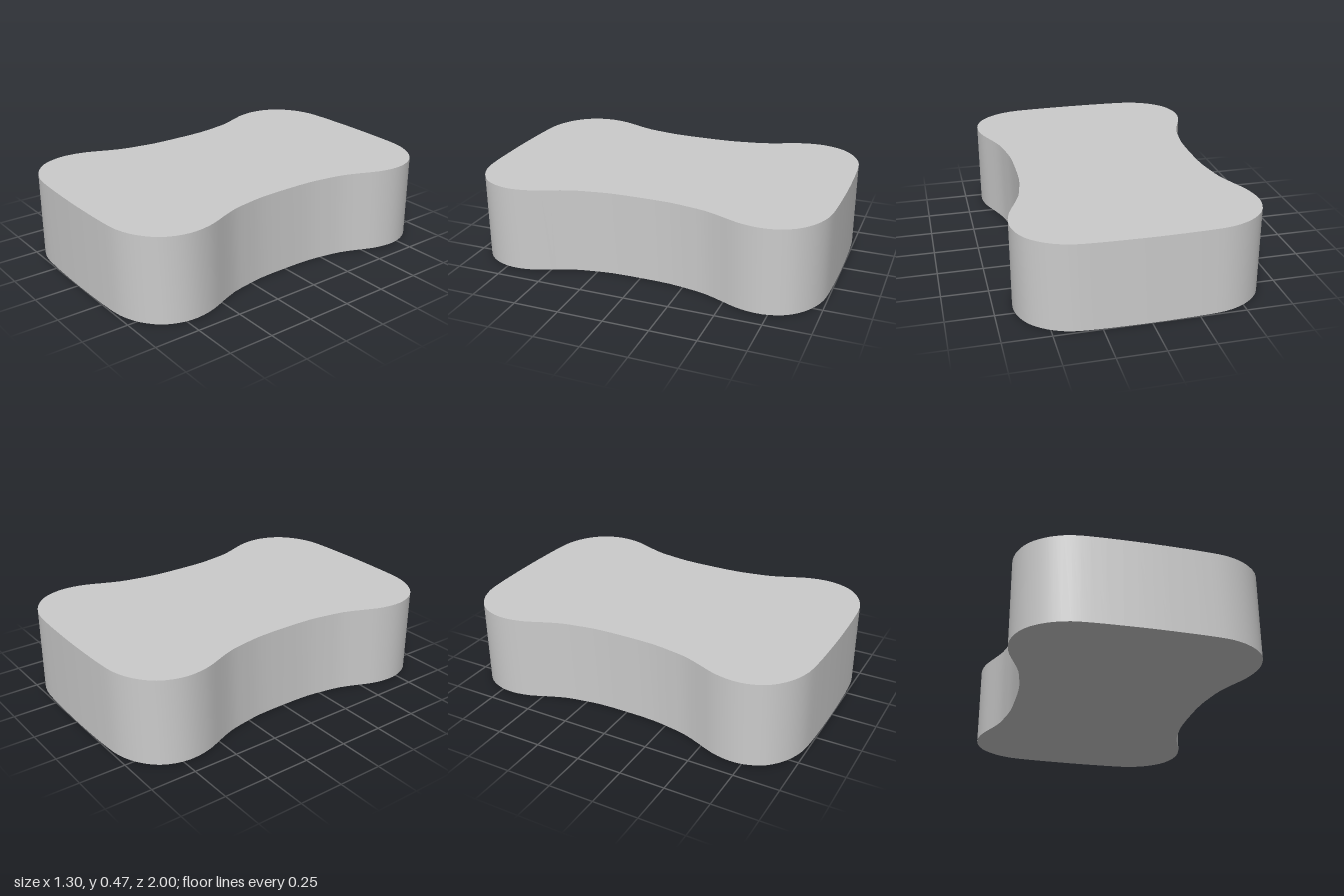
import * as THREE from 'three';
import { toCreasedNormals } from 'three/addons/utils/BufferGeometryUtils.js';

const HEIGHT = 0.475;

// One quarter of the waisted outline, from the middle of the end to the waist
const QUARTER = [
  [0, 1], [0.15, 0.998], [0.31, 0.992], [0.4, 0.982], [0.48, 0.955], [0.545, 0.915],
  [0.6, 0.86], [0.635, 0.79], [0.65, 0.72], [0.648, 0.65], [0.63, 0.57],
  [0.595, 0.485], [0.555, 0.38], [0.535, 0.28], [0.519, 0.17], [0.515, 0],
];

// Mirror the quarter into a closed loop
function outline() {
  const half = [...QUARTER, ...QUARTER.slice(0, -1).reverse().map(([x, z]) => [x, -z])];
  const other = half.slice(1, -1).reverse().map(([x, z]) => [-x, z]);
  const loop = [...half, ...other].map(([x, z]) => new THREE.Vector3(x, z, 0));
  const curve = new THREE.CatmullRomCurve3(loop, true, 'centripetal');
  const points = curve.getPoints(loop.length * 2).slice(0, -1);
  return new THREE.Shape(points.map((p) => new THREE.Vector2(p.x, p.y)));
}

export function createModel() {
  const group = new THREE.Group();
  group.name = 'waistedBlock';

  // Flat top and bottom, smooth curved wall, sharp rims
  const extruded = new THREE.ExtrudeGeometry(outline(), { depth: HEIGHT, bevelEnabled: false });
  extruded.rotateX(-Math.PI / 2);
  const body = new THREE.Mesh(
    toCreasedNormals(extruded, Math.PI / 5),
    new THREE.MeshStandardMaterial({ color: 0xcccccc }),
  );
  body.name = 'body';
  group.add(body);
  return group;
}
